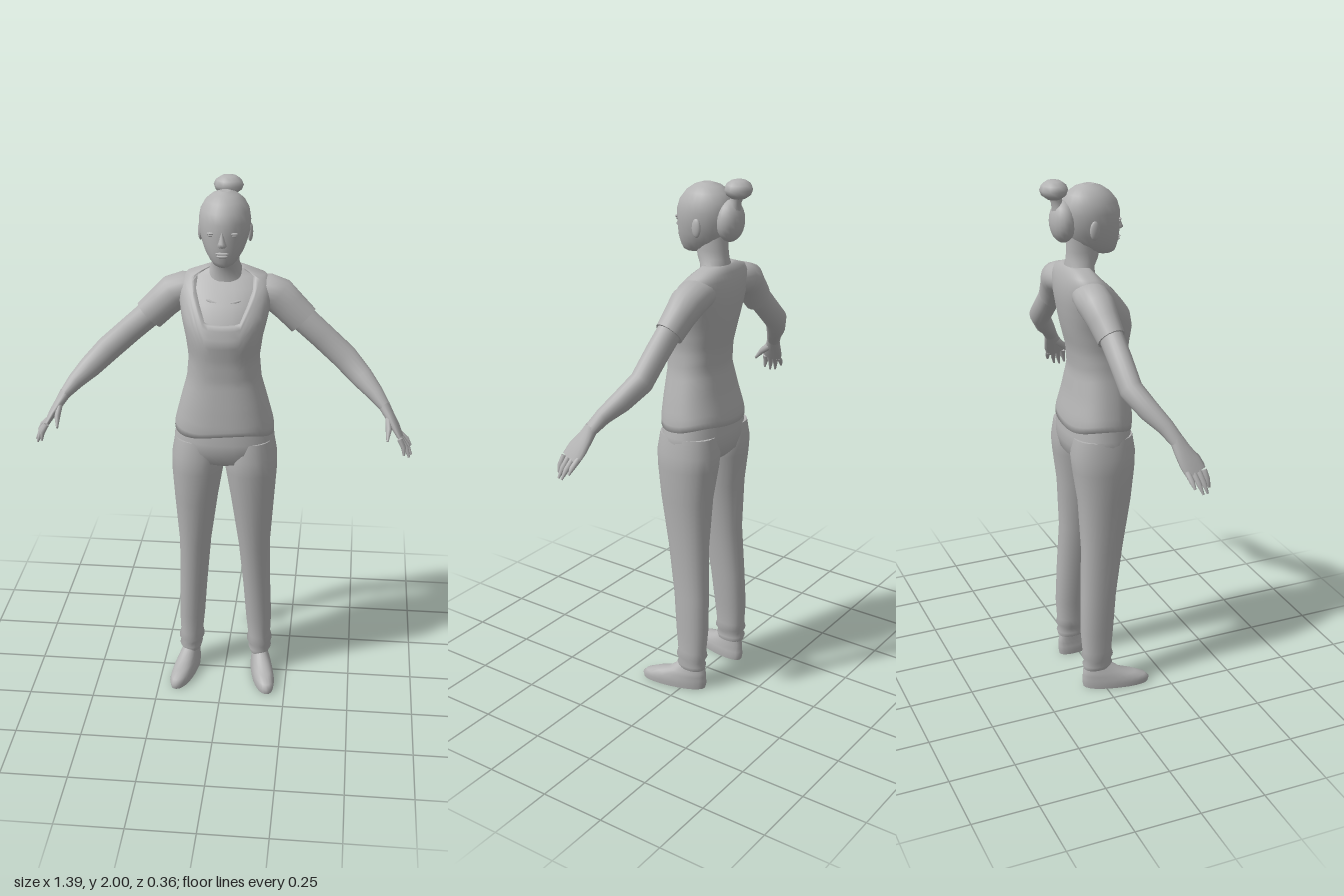
import * as THREE from 'three';

const TAU = Math.PI * 2;
const grey = new THREE.MeshStandardMaterial({ color: 0xb3b3b3, side: THREE.DoubleSide });
grey.name = 'matteGrey';

// Skin a list of closed rings; flat caps get their own vertices so edges stay crisp
function skin(rings, capStart = true, capEnd = true) {
  const n = rings[0].length, pos = [], idx = [];
  rings.forEach(r => r.forEach(p => pos.push(p.x, p.y, p.z)));
  for (let i = 0; i < rings.length - 1; i++) {
    for (let j = 0; j < n; j++) {
      const a = i * n + j, b = i * n + (j + 1) % n;
      idx.push(a, b, a + n, b, b + n, a + n);
    }
  }
  const cap = (ring, flip) => {
    const base = pos.length / 3, c = new THREE.Vector3();
    ring.forEach(p => { pos.push(p.x, p.y, p.z); c.addScaledVector(p, 1 / n); });
    pos.push(c.x, c.y, c.z);
    for (let j = 0; j < n; j++) {
      const a = base + j, b = base + (j + 1) % n;
      if (flip) idx.push(b, a, base + n); else idx.push(a, b, base + n);
    }
  };
  if (capStart) cap(rings[0], true);
  if (capEnd) cap(rings[rings.length - 1], false);
  const g = new THREE.BufferGeometry();
  g.setAttribute('position', new THREE.Float32BufferAttribute(pos, 3));
  g.setIndex(idx);
  g.computeVertexNormals();
  return g;
}

// Point on a horizontal section: x range, z range, squareness p
function sectionPoint(a, y, x0, x1, zf, zb, p = 1) {
  const s = Math.sin(a), c = Math.cos(a);
  return new THREE.Vector3(
    (x0 + x1) / 2 + (x1 - x0) / 2 * Math.sign(s) * Math.abs(s) ** p, y,
    (zf + zb) / 2 + (zf - zb) / 2 * Math.sign(c) * Math.abs(c) ** p);
}

// Stack of sections [y, x0, x1, zFront, zBack], listed bottom to top
function stack(rows, n = 24, p = 1, caps = true) {
  return skin(rows.map(r => Array.from({ length: n }, (_, j) => sectionPoint(j / n * TAU, ...r, p))), caps, caps);
}
const centred = rows => rows.map(([y, w, zf, zb]) => [y, -w, w, zf, zb]);

// Limb along points [x, y, z, radiusInPlane, radiusInDepth]
function limb(pts, n = 14) {
  const v = pts.map(p => new THREE.Vector3(p[0], p[1], p[2]));
  return skin(pts.map((p, i) => {
    const t = v[Math.min(i + 1, v.length - 1)].clone().sub(v[Math.max(i - 1, 0)]).normalize();
    const u = new THREE.Vector3(0, 0, 1).cross(t).normalize(), w = t.clone().cross(u);
    return Array.from({ length: n }, (_, j) => v[i].clone()
      .addScaledVector(u, p[3] * Math.cos(j / n * TAU)).addScaledVector(w, p[4] * Math.sin(j / n * TAU)));
  }));
}

function ellipsoid(x, y, z, rx, ry, rz, ws = 18, hs = 12) {
  return new THREE.SphereGeometry(1, ws, hs).scale(rx, ry, rz).translate(x, y, z);
}

function mirrored(geo) {
  const g = geo.clone().scale(-1, 1, 1), ix = g.index.array;
  for (let i = 0; i < ix.length; i += 3) [ix[i], ix[i + 1]] = [ix[i + 1], ix[i]];
  g.computeVertexNormals();
  return g;
}

// Torso sections [y, half width, zFront, zBack]
const TORSO = [
  [1.07, 0.186, 0.142, -0.112], [1.12, 0.183, 0.145, -0.11], [1.2, 0.163, 0.14, -0.09],
  [1.3, 0.136, 0.132, -0.072], [1.38, 0.129, 0.137, -0.08], [1.46, 0.14, 0.15, -0.1],
  [1.52, 0.155, 0.136, -0.111], [1.58, 0.166, 0.092, -0.118], [1.63, 0.168, 0.05, -0.117],
  [1.665, 0.148, 0.01, -0.108], [1.69, 0.075, -0.005, -0.095]
];
function lerpTable(table, x) {
  if (x <= table[0][0]) return table[0].slice(1);
  for (let i = 1; i < table.length; i++) {
    const a = table[i - 1], b = table[i];
    if (x <= b[0]) return a.slice(1).map((q, k) => q + (b[k + 1] - q) * (x - a[0]) / (b[0] - a[0]));
  }
  return table[table.length - 1].slice(1);
}
function torsoPoint(a, y, inset) {
  const [w, zf, zb] = lerpTable(TORSO, y);
  return sectionPoint(a, y, -w + inset, w - inset, zf - inset, zb + inset, 0.86);
}

// Shirt with a scooped neckline, wavy hem and a turned-in rim
function shirtGeometry() {
  const n = 48, rows = 26, rings = [];
  const neckline = [[0, 1.522], [22, 1.525], [34, 1.6], [45, 1.665], [58, 1.69]];
  for (let i = -1; i <= rows + 1; i++) {
    const v = Math.min(Math.max(i / rows, 0), 1);
    rings.push(Array.from({ length: n }, (_, j) => {
      const a = j / n * TAU, deg = Math.min(a, TAU - a) * 360 / TAU;
      const top = lerpTable(neckline, deg)[0], hem = 1.092 + 0.01 * Math.sin(3 * a + 0.6);
      return torsoPoint(a, hem + (top - hem) * v, i < 0 || i > rows ? 0.015 : 0);
    }));
  }
  return skin(rings, false, false);
}

export function createModel() {
  const model = new THREE.Group();
  model.name = 'standingWoman';
  const add = (name, geo) => {
    const m = new THREE.Mesh(geo, grey);
    m.name = name;
    model.add(m);
  };
  const pair = (name, geo) => {
    add('left' + name, geo);
    add('right' + name, mirrored(geo));
  };

  // Torso
  add('shirt', shirtGeometry());
  add('chest', skin([1.42, 1.46, 1.52, 1.58, 1.63, 1.665, 1.69].map(y =>
    Array.from({ length: 32 }, (_, j) => torsoPoint(j / 32 * TAU, y, 0.014)))));
  pair('Collarbone', limb([[0.015, 1.585, 0.066, 0.004, 0.006], [0.05, 1.592, 0.06, 0.006, 0.008], [0.09, 1.6, 0.035, 0.003, 0.005]], 8));

  // Head and neck
  add('neck', stack(centred([[1.65, 0.075, 0.015, -0.095], [1.685, 0.06, 0.015, -0.093],
    [1.71, 0.05, 0.03, -0.088], [1.74, 0.048, 0.038, -0.085], [1.8, 0.05, 0.04, -0.085]])));
  add('head', stack(centred([[1.724, 0.022, 0.085, 0.03], [1.731, 0.036, 0.096, 0.0], [1.745, 0.05, 0.102, -0.035],
    [1.77, 0.066, 0.108, -0.065], [1.8, 0.078, 0.111, -0.087], [1.84, 0.089, 0.112, -0.1],
    [1.88, 0.092, 0.111, -0.106], [1.915, 0.086, 0.1, -0.101], [1.945, 0.069, 0.076, -0.083],
    [1.965, 0.045, 0.047, -0.055], [1.975, 0.018, 0.018, -0.025]])));
  add('nose', stack(centred([[1.803, 0.012, 0.118, 0.09], [1.81, 0.017, 0.131, 0.09], [1.82, 0.013, 0.127, 0.09],
    [1.845, 0.007, 0.116, 0.09], [1.86, 0.004, 0.111, 0.09]]), 12));
  add('upperLip', ellipsoid(0, 1.781, 0.108, 0.024, 0.005, 0.008));
  add('lowerLip', ellipsoid(0, 1.771, 0.107, 0.02, 0.006, 0.008));
  pair('Eyelid', ellipsoid(0.036, 1.85, 0.098, 0.019, 0.005, 0.007));
  pair('Eye', ellipsoid(0.036, 1.843, 0.097, 0.015, 0.006, 0.006));
  pair('Ear', ellipsoid(0.088, 1.828, -0.015, 0.01, 0.034, 0.018).rotateX(0));

  // Gathered hair and bun
  add('backHair', ellipsoid(0, 1.85, -0.1, 0.062, 0.075, 0.047));
  add('hairTie', limb([[0, 1.89, -0.115, 0.03, 0.025], [0, 1.92, -0.122, 0.02, 0.02], [0, 1.95, -0.13, 0.026, 0.024]]));
  add('bun', ellipsoid(0, 1.964, -0.133, 0.054, 0.036, 0.05, 10, 6));

  // Sleeves and arms
  pair('Sleeve', limb([[0.09, 1.605, -0.05, 0.05, 0.055], [0.15, 1.602, -0.05, 0.061, 0.066], [0.19, 1.585, -0.048, 0.066, 0.063],
    [0.23, 1.548, -0.042, 0.062, 0.055], [0.282, 1.498, -0.035, 0.06, 0.048]], 20));
  pair('Arm', limb([[0.24, 1.54, -0.038, 0.05, 0.042], [0.35, 1.443, -0.031, 0.048, 0.041], [0.435, 1.365, -0.028, 0.048, 0.04],
    [0.5, 1.305, 0.012, 0.042, 0.036], [0.55, 1.26, 0.05, 0.031, 0.029], [0.59, 1.215, 0.078, 0.02, 0.026]], 18));

  // Hands
  pair('Palm', limb([[0.583, 1.225, 0.074, 0.022, 0.025], [0.605, 1.19, 0.087, 0.018, 0.032],
    [0.628, 1.155, 0.104, 0.015, 0.041], [0.648, 1.12, 0.12, 0.01, 0.04]]));
  pair('Thumb', limb([[0.602, 1.19, 0.1, 0.012, 0.016], [0.604, 1.155, 0.142, 0.011, 0.012], [0.601, 1.122, 0.17, 0.004, 0.005]], 8));
  const tips = [[0.663, 1.065, 0.163], [0.682, 1.053, 0.148], [0.69, 1.055, 0.128], [0.688, 1.078, 0.098]];
  tips.forEach(([x, y, z], i) => {
    const root = [0.645, 1.125, 0.15 - i * 0.021];
    pair('Finger' + (i + 1), limb([[...root, 0.01, 0.011],
      [(root[0] + x) / 2 + 0.006, (root[1] + y) / 2, (root[2] + z) / 2, 0.009, 0.01], [x, y, z, 0.004, 0.004]], 8));
  });

  // Trousers
  add('trouserSeat', stack(centred([[0.95, 0.11, 0.075, -0.075], [0.975, 0.17, 0.12, -0.1], [1.02, 0.19, 0.137, -0.11],
    [1.06, 0.187, 0.14, -0.11], [1.12, 0.172, 0.132, -0.1]]), 32, 0.88));
  pair('TrouserLeg', stack([[0.085, 0.1, 0.175, 0.03, -0.078], [0.105, 0.094, 0.184, 0.036, -0.083], [0.12, 0.102, 0.176, 0.03, -0.076],
    [0.14, 0.086, 0.187, 0.04, -0.086], [0.165, 0.092, 0.18, 0.034, -0.082], [0.25, 0.083, 0.183, 0.042, -0.088],
    [0.4, 0.072, 0.178, 0.056, -0.085], [0.6, 0.054, 0.175, 0.086, -0.077], [0.8, 0.026, 0.189, 0.118, -0.086],
    [0.93, 0.004, 0.198, 0.133, -0.104], [0.99, 0, 0.197, 0.136, -0.11], [1.06, 0.01, 0.185, 0.125, -0.1]], 24, 0.92));

  // Shoes, toes turned outwards by shearing
  const shoe = stack([[0, 0.103, 0.187, 0.175, -0.078], [0.02, 0.101, 0.189, 0.18, -0.082], [0.036, 0.104, 0.187, 0.165, -0.081],
    [0.052, 0.107, 0.184, 0.125, -0.08], [0.068, 0.11, 0.18, 0.07, -0.079], [0.11, 0.115, 0.165, 0.015, -0.068]], 24, 0.9);
  const sp = shoe.attributes.position;
  for (let i = 0; i < sp.count; i++) sp.setX(i, sp.getX(i) + 0.2 * sp.getZ(i));
  shoe.computeVertexNormals();
  pair('Shoe', shoe);

  return model;
}
